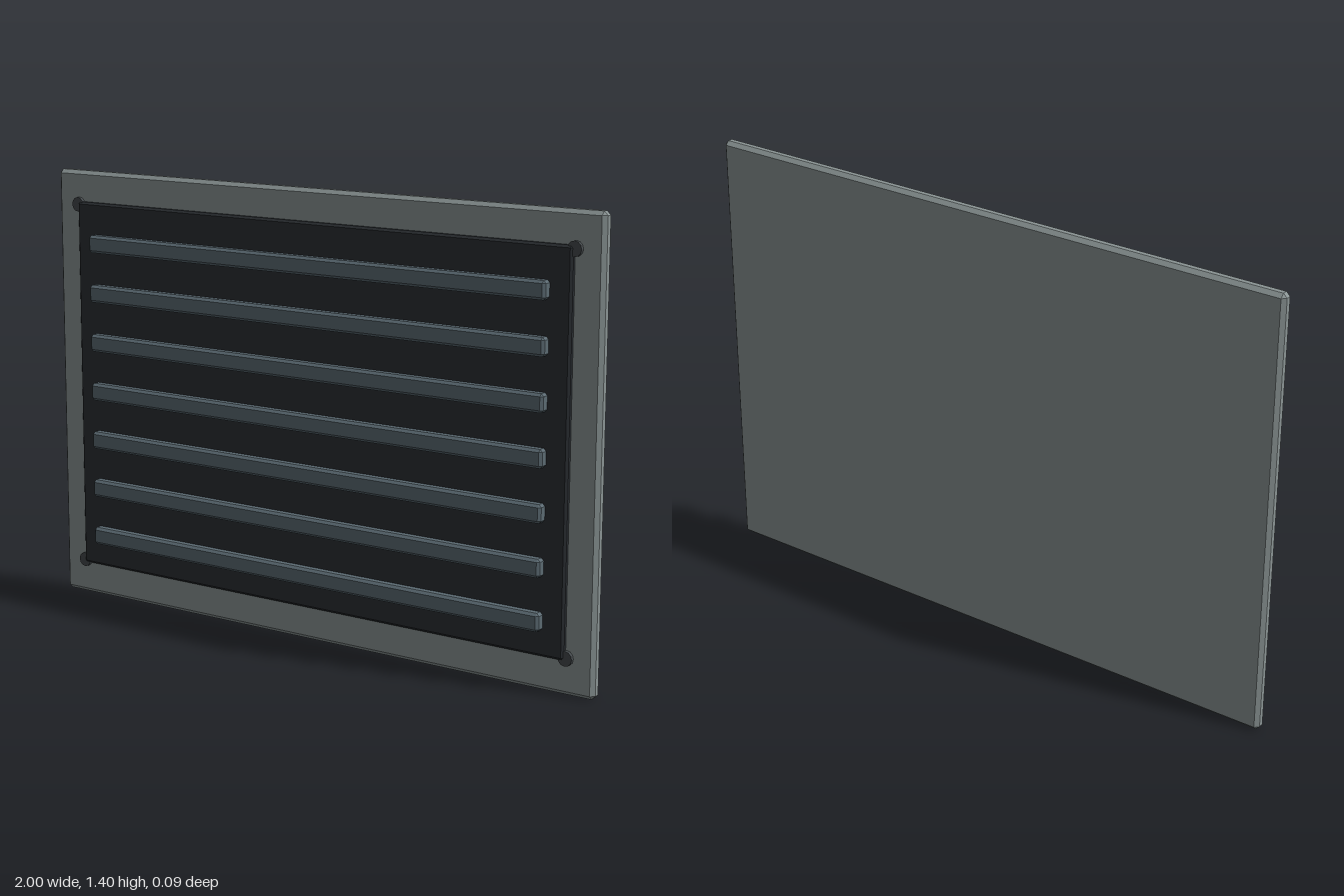
import * as THREE from 'three';
import { ConvexGeometry } from 'three/addons/geometries/ConvexGeometry.js';

// Box with every edge cut by a single flat chamfer
function chamferBox(w, h, d, c) {
  const half = [w / 2, h / 2, d / 2];
  const points = [];
  for (const sx of [-1, 1]) for (const sy of [-1, 1]) for (const sz of [-1, 1]) {
    for (let face = 0; face < 3; face++) {
      const [x, y, z] = half.map((v, axis) => (axis === face ? v : v - c));
      points.push(new THREE.Vector3(sx * x, sy * y, sz * z));
    }
  }
  return new ConvexGeometry(points);
}

export function createModel() {
  const group = new THREE.Group();
  const paint = (color) => new THREE.MeshStandardMaterial({ color, flatShading: true });
  const plateMat = paint(0x8a9494);
  const panelMat = paint(0x2a2e32);
  const slatMat = paint(0x5c6b73);
  const screwMat = paint(0x44494c);

  function add(name, geometry, material, x, y, z) {
    const mesh = new THREE.Mesh(geometry, material);
    mesh.name = name;
    mesh.position.set(x, y, z);
    group.add(mesh);
    return mesh;
  }

  // Wall plate
  add('backPlate', chamferBox(2, 1.4, 0.04, 0.012), plateMat, 0, 0.7, -0.023);

  // Dark recess panel
  add('darkPanel', chamferBox(1.814, 1.195, 0.026, 0.007), panelMat, 0, 0.704, 0);

  // Horizontal louvre slats
  const slatGeo = chamferBox(1.678, 0.056, 0.036, 0.008);
  for (let i = 0; i < 7; i++) {
    add(`slat${i + 1}`, slatGeo, slatMat, 0, 0.213 + i * 0.16, 0.025);
  }

  // Corner screws
  const screwGeo = new THREE.CylinderGeometry(0.023, 0.023, 0.02, 12).rotateX(Math.PI / 2);
  for (const x of [-0.91, 0.91]) for (const y of [0.113, 1.292]) {
    add('cornerScrew', screwGeo, screwMat, x, y, -0.002);
  }
  return group;
}
